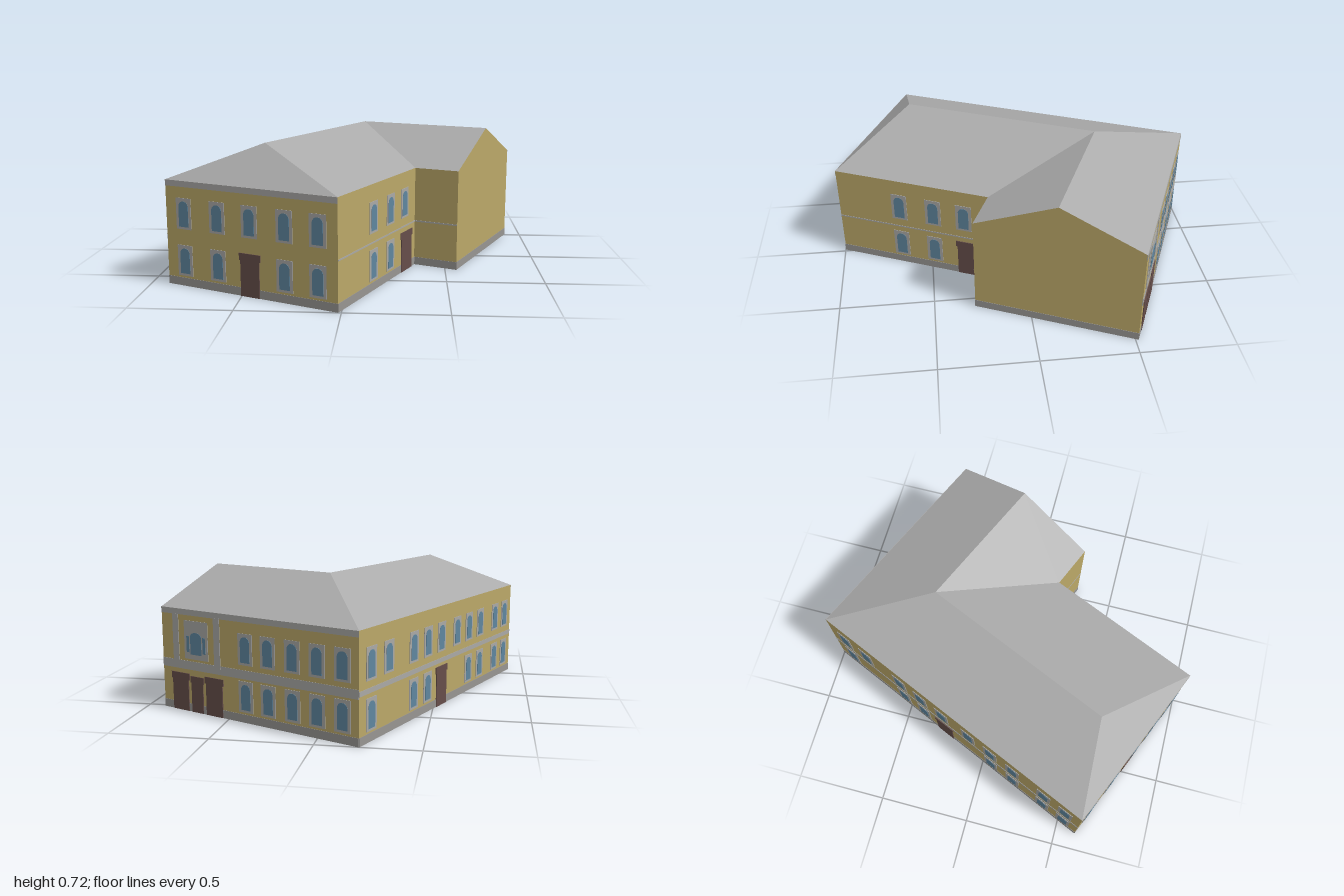
import * as THREE from 'three';

const mat = (name, color, side = THREE.FrontSide) => {
  const m = new THREE.MeshStandardMaterial({ color, side });
  m.name = name;
  return m;
};

export function createModel() {
  const plaster = mat('yellow plaster', 0xbba868, THREE.DoubleSide);
  const roofing = mat('grey roofing', 0xababab, THREE.DoubleSide);
  const trim = mat('pale grey trim', 0xaaa9a6);
  const plinth = mat('plinth grey', 0x979592);
  const glass = mat('blue glass', 0x5f869f);
  const wood = mat('brown door', 0x664e4a);

  const house = new THREE.Group();
  house.name = 'house';

  // Footprint corners and ridge points of the L-shaped plan, [x, z]
  const F = [-0.91, 0.61], E = [-0.015, 0.997], D = [0.335, 0.19];
  const C = [0.56, 0.285], B = [0.908, -0.515], A = [-0.21, -1];
  const R1 = [-0.41, 0.58], R2 = [0.03, -0.425], G = [0.734, -0.115];
  const EAVE = 0.537, RIDGE = 0.72;

  // Thin plate centred on the wall plane, with an optional arched head
  function plate(parent, name, material, x, y0, w, h, depth, arch = 0) {
    const s = new THREE.Shape();
    s.moveTo(-w / 2, 0);
    s.lineTo(w / 2, 0);
    s.lineTo(w / 2, h - arch);
    if (arch) s.quadraticCurveTo(w * 0.4, h, 0, h).quadraticCurveTo(-w * 0.4, h, -w / 2, h - arch);
    else s.lineTo(-w / 2, h);
    const geo = new THREE.ExtrudeGeometry(s, { depth, bevelEnabled: false, curveSegments: 4 });
    geo.translate(x, y0, -depth / 2);
    const mesh = new THREE.Mesh(geo, material);
    mesh.name = name;
    parent.add(mesh);
  }

  function windowAt(wall, x, y) {
    plate(wall, 'windowSurround', trim, x, y - 0.012, 0.09, 0.158, 0.006);
    plate(wall, 'windowPane', glass, x, y, 0.058, 0.13, 0.009, 0.025);
  }

  function doorAt(wall, x, w, h = 0.215) {
    plate(wall, 'door', wood, x, 0, w * 0.88, h, 0.009);
    plate(wall, 'doorHead', wood, x, h - 0.035, w, 0.035, 0.009);
  }

  // Wall from P to Q, local x along the wall and local z outward
  function makeWall(name, P, Q, { gable = false, upper = [], lower = [], doors = [], band = 0, cornice = false }) {
    const dx = Q[0] - P[0], dz = Q[1] - P[1], len = Math.hypot(dx, dz);
    const wall = new THREE.Group();
    wall.name = name;
    wall.position.set(P[0], 0, P[1]);
    wall.rotation.y = Math.atan2(-dz, dx);
    const s = new THREE.Shape();
    s.moveTo(0, 0);
    s.lineTo(len, 0);
    s.lineTo(len, EAVE);
    if (gable) s.lineTo(len / 2, RIDGE);
    s.lineTo(0, EAVE);
    const face = new THREE.Mesh(new THREE.ShapeGeometry(s), plaster);
    face.name = name + 'Face';
    wall.add(face);
    plate(wall, 'plinth', plinth, len / 2, 0, len, 0.042, 0.004);
    if (band) plate(wall, 'stringCourse', trim, len / 2, 0.245 - band / 2, len, band, 0.004);
    if (cornice) plate(wall, 'cornice', trim, len / 2, 0.507, len, EAVE - 0.507, 0.004);
    upper.forEach(t => windowAt(wall, t * len, 0.305));
    lower.forEach(t => windowAt(wall, t * len, 0.065));
    doors.forEach(([t, w, h]) => doorAt(wall, t * len, w, h));
    house.add(wall);
    return { wall, len };
  }

  makeWall('frontEndWall', F, E, {
    upper: [0.112, 0.318, 0.51, 0.71, 0.894], lower: [0.112, 0.318, 0.71, 0.894],
    doors: [[0.51, 0.122]], cornice: true,
  });
  makeWall('courtWall', E, D, {
    upper: [0.416, 0.64, 0.84], lower: [0.416, 0.64], doors: [[0.87, 0.15]], band: 0.008,
  });
  makeWall('wingInnerWall', D, C, { band: 0.008 });
  makeWall('wingGableWall', C, B, { gable: true });
  const bays = [0.46, 0.575, 0.695, 0.812, 0.928];
  const { wall: entrance, len } = makeWall('entranceWall', B, A, {
    upper: bays, lower: bays, band: 0.045, cornice: true,
    doors: [[0.1, 0.125, 0.2], [0.195, 0.09, 0.19], [0.29, 0.125, 0.2]],
  });
  const rows = [0.06, 0.15, 0.29, 0.376, 0.463, 0.57, 0.657, 0.744, 0.864, 0.946];
  makeWall('longBackWall', A, F, {
    upper: rows, lower: rows.filter((t, i) => ![1, 4, 5].includes(i)),
    doors: [[0.465, 0.13]], band: 0.025,
  });

  // Large framed window and pilasters above the triple entrance
  plate(entrance, 'entrancePanel', trim, 0.195 * len, 0.28, 0.16, 0.2, 0.006);
  plate(entrance, 'entranceWindow', glass, 0.195 * len, 0.305, 0.075, 0.115, 0.009, 0.02);
  for (const side of [-1, 1]) {
    plate(entrance, 'sideLight', glass, 0.195 * len + side * 0.055, 0.315, 0.018, 0.085, 0.009);
    plate(entrance, 'pilaster', trim, (0.195 + side * 0.115) * len, 0.25, 0.04, 0.26, 0.006);
  }

  // Hipped roof with a cross wing: each plane is a fan of its corners
  const planes = [[F, E, R1], [E, D, R2, R1], [D, C, G, R2], [B, A, R2, G], [A, F, R1, R2]];
  const pos = [];
  const put = p => pos.push(p[0], [R1, R2, G].includes(p) ? RIDGE : EAVE, p[1]);
  for (const p of planes) {
    for (let i = 1; i < p.length - 1; i++) [p[0], p[i], p[i + 1]].forEach(put);
  }
  const roofGeo = new THREE.BufferGeometry();
  roofGeo.setAttribute('position', new THREE.Float32BufferAttribute(pos, 3));
  roofGeo.computeVertexNormals();
  const roof = new THREE.Mesh(roofGeo, roofing);
  roof.name = 'roof';
  house.add(roof);

  return house;
}
